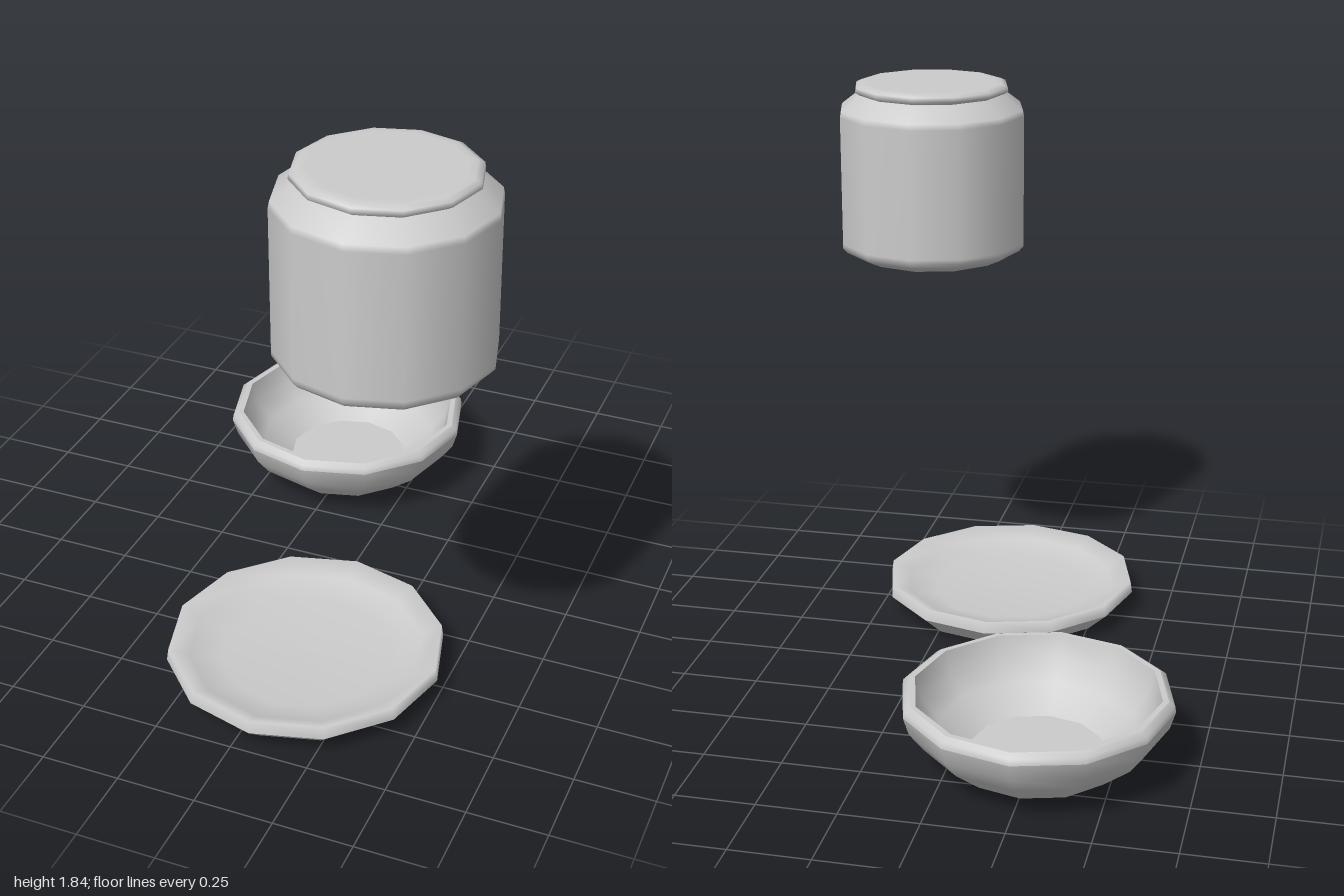
import * as THREE from 'three';
import { mergeGeometries } from 'three/addons/utils/BufferGeometryUtils.js';

const SIDES = 12;
const material = new THREE.MeshStandardMaterial({ color: 0xcccccc });

// Turned low-poly vessel: each section is smooth, with a hard crease between sections.
// Points are [radius, height], running from the underside outwards, up and back in.
function turned(name, x, z, sections) {
  const lathes = sections.map((pts) =>
    new THREE.LatheGeometry(pts.map(([r, y]) => new THREE.Vector2(r, y)), SIDES));
  const mesh = new THREE.Mesh(mergeGeometries(lathes), material);
  mesh.name = name;
  mesh.position.set(x, 0, z);
  return mesh;
}

export function createModel() {
  const model = new THREE.Group();
  model.name = 'tableware';

  // Shallow plate with a sloped foot and softly dished inside
  model.add(turned('plate', 0.06, 0.557, [
    [[0, 0], [0.363, 0]],
    [[0.363, 0], [0.44, 0.07]],
    [[0.44, 0.07], [0.434, 0.11], [0.37, 0.08], [0.27, 0.052], [0, 0.05]],
  ]));

  // Rounded bowl with a bevelled lip and flat inner floor
  model.add(turned('bowl', -0.26, -0.58, [
    [[0, 0.023], [0.26, 0.023]],
    [[0.26, 0.023], [0.36, 0.105], [0.403, 0.162], [0.42, 0.218]],
    [[0.42, 0.218], [0.417, 0.237], [0.398, 0.25]],
    [[0.398, 0.25], [0.38, 0.25]],
    [[0.38, 0.25], [0.36, 0.18], [0.31, 0.115], [0.207, 0.05]],
    [[0.207, 0.05], [0, 0.05]],
  ]));

  // Jar body with chamfered base and shoulder
  const jar = new THREE.Group();
  jar.name = 'jar';
  jar.add(turned('jarBody', 0.36, 0.66, [
    [[0, 1.244], [0.254, 1.244]],
    [[0.254, 1.244], [0.305, 1.268], [0.32, 1.285], [0.32, 1.3],
      [0.32, 1.735], [0.316, 1.755], [0.25, 1.806]],
    [[0.25, 1.806], [0, 1.806]],
  ]));

  // Thin rounded lid
  jar.add(turned('jarLid', 0.36, 0.66, [
    [[0, 1.807], [0.25, 1.807]],
    [[0.25, 1.807], [0.266, 1.817], [0.263, 1.832], [0.245, 1.84], [0.22, 1.841], [0, 1.841]],
  ]));
  model.add(jar);

  return model;
}
